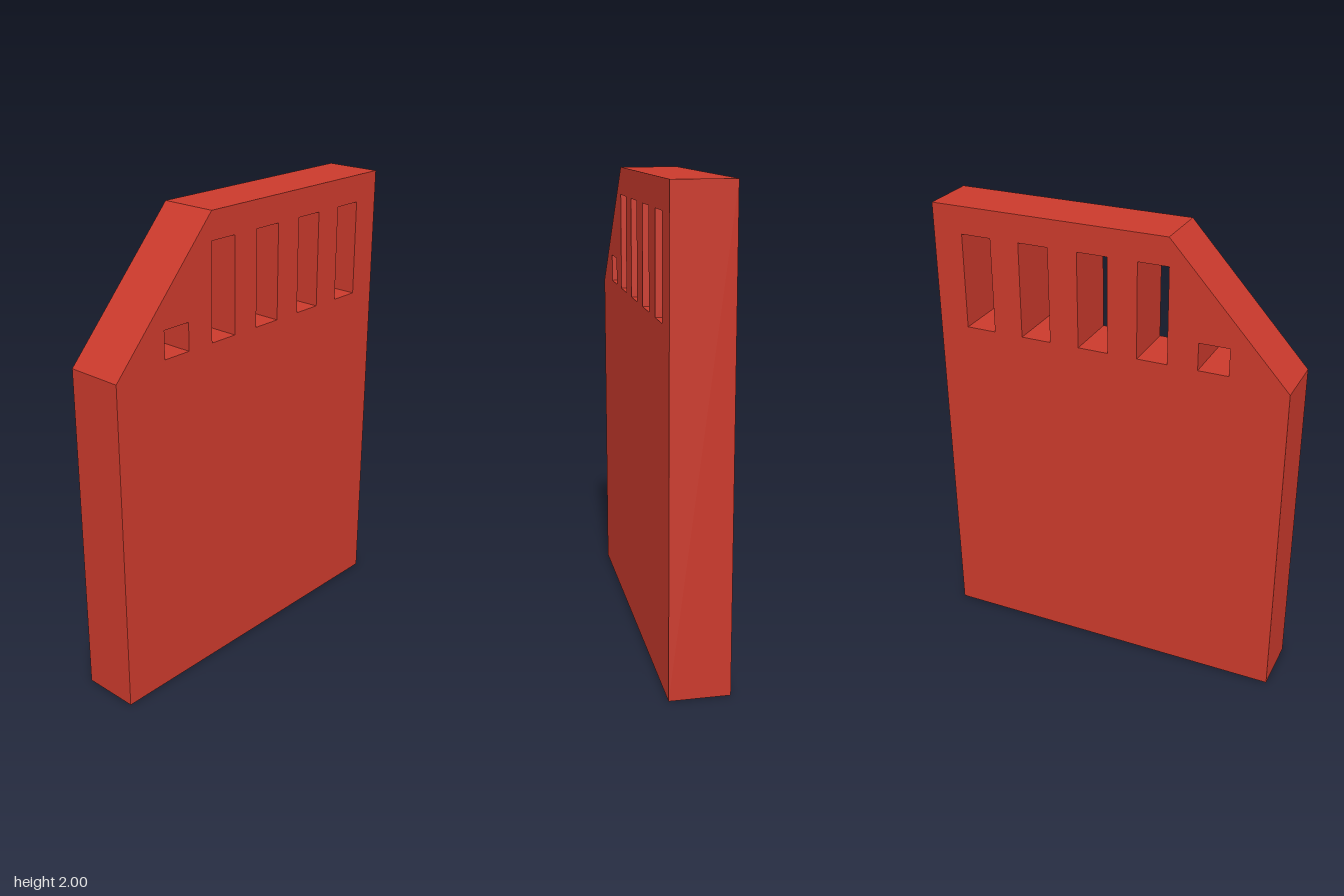
import * as THREE from 'three';

const DEPTH = 0.25;

function polygon(Type, points) {
  return new Type(points.map(([x, y]) => new THREE.Vector2(x, y)));
}

function rectHole(x, y, width, height) {
  return polygon(THREE.Path, [
    [x, y], [x, y + height], [x + width, y + height], [x + width, y],
  ]);
}

export function createModel() {
  const group = new THREE.Group();
  group.name = 'memoryCard';

  const red = new THREE.MeshStandardMaterial({ color: 0xcb3a2c, flatShading: true });
  red.name = 'red';

  // Card outline with one chamfered upper corner
  const outline = polygon(THREE.Shape, [
    [-0.78, 0], [0.776, 0], [0.776, 2], [-0.267, 2], [-0.78, 1.44],
  ]);

  // Small square slot under the chamfer, then four tall contact slots
  outline.holes.push(rectHole(-0.53, 1.47, 0.13, 0.118));
  for (let i = 0; i < 4; i++) {
    outline.holes.push(rectHole(-0.27 + i * 0.261, 1.47, 0.132, 0.412));
  }

  const geometry = new THREE.ExtrudeGeometry(outline, { depth: DEPTH, bevelEnabled: false });
  geometry.translate(0, 0, -DEPTH / 2);

  const body = new THREE.Mesh(geometry, red);
  body.name = 'cardBody';
  group.add(body);
  return group;
}
